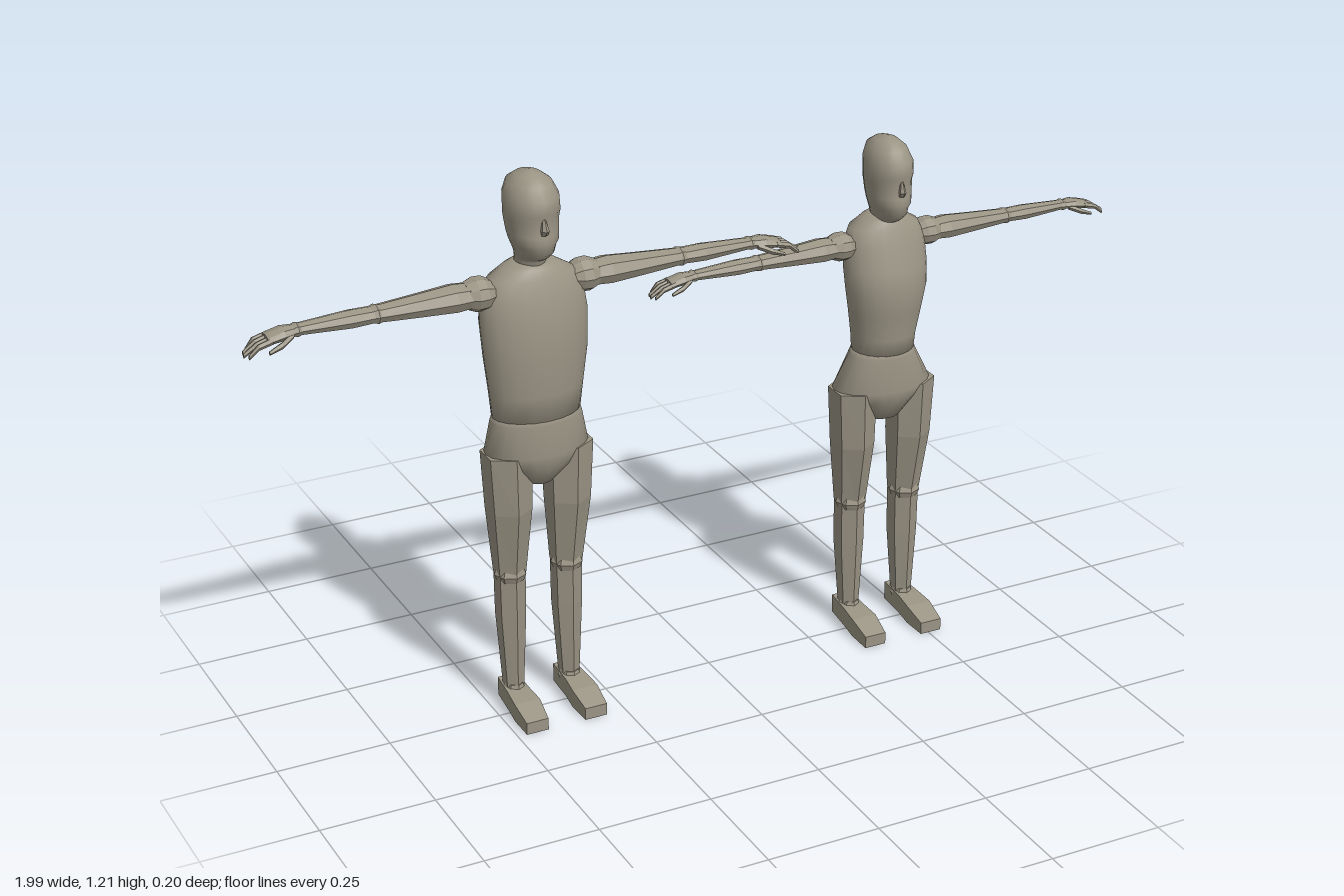
import * as THREE from 'three';

const clay = new THREE.MeshStandardMaterial({ color: 0x9a9484 });
clay.name = 'clay';

// Closed loft along y. Ring: [y, halfWidth, zFront, zBack, xOffset]
function loft(rings, sides, { smooth = false, phase = 0 } = {}) {
  const r = rings[0][0] > rings[rings.length - 1][0] ? [...rings].reverse() : rings;
  const angles = Array.from({ length: sides }, (_, i) => (i / sides) * Math.PI * 2 + phase);
  const maxS = Math.max(...angles.map((a) => Math.abs(Math.sin(a))));
  const maxC = Math.max(...angles.map((a) => Math.abs(Math.cos(a))));
  const pos = [], idx = [];
  for (const [y, w, zf, zb, x = 0] of r) {
    for (const a of angles) {
      pos.push(x + (w * Math.sin(a)) / maxS, y, (zf + zb) / 2 + (((zf - zb) / 2) * Math.cos(a)) / maxC);
    }
  }
  const centre = ([y, , zf, zb, x = 0]) => pos.push(x, y, (zf + zb) / 2);
  centre(r[0]);
  centre(r[r.length - 1]);
  const bottom = r.length * sides, last = (r.length - 1) * sides;
  for (let i = 0; i < sides; i++) {
    const k = (i + 1) % sides;
    for (let j = 0; j < r.length - 1; j++) {
      const p = j * sides + i, q = j * sides + k;
      idx.push(p, q, q + sides, p, q + sides, p + sides);
    }
    idx.push(bottom, k, i, bottom + 1, last + i, last + k);
  }
  let g = new THREE.BufferGeometry();
  g.setAttribute('position', new THREE.Float32BufferAttribute(pos, 3));
  g.setIndex(idx);
  if (!smooth) g = g.toNonIndexed();
  g.computeVertexNormals();
  return g;
}

// Mirror a flat-shaded geometry across x, keeping faces outward
function mirror(geo) {
  const g = geo.clone().scale(-1, 1, 1);
  const p = g.attributes.position, a = new THREE.Vector3(), b = new THREE.Vector3();
  for (let i = 0; i < p.count; i += 3) {
    a.fromBufferAttribute(p, i + 1);
    b.fromBufferAttribute(p, i + 2);
    p.setXYZ(i + 1, b.x, b.y, b.z);
    p.setXYZ(i + 2, a.x, a.y, a.z);
  }
  g.computeVertexNormals();
  return g;
}

function add(parent, name, geo) {
  const m = new THREE.Mesh(geo, clay);
  m.name = name;
  parent.add(m);
}

function addPair(parent, name, geo) {
  add(parent, name + 'Left', geo);
  add(parent, name + 'Right', mirror(geo));
}

// Head and neck, measured down from the crown
function addHead(fig, top, w, d) {
  const rings = [
    [0, 0.006, -0.02, -0.04], [-0.006, 0.027, 0.004, -0.066], [-0.02, 0.045, 0.027, -0.088],
    [-0.045, 0.056, 0.045, -0.093], [-0.073, 0.057, 0.047, -0.09], [-0.088, 0.056, 0.04, -0.088],
    [-0.12, 0.052, 0.044, -0.084], [-0.135, 0.049, 0.048, -0.081], [-0.145, 0.045, 0.042, -0.079],
    [-0.16, 0.039, 0.042, -0.077], [-0.174, 0.034, 0.025, -0.074], [-0.186, 0.032, 0.003, -0.071],
    [-0.245, 0.035, 0.002, -0.074],
  ].map(([y, hw, zf, zb]) => [top + y, hw * w, zf * d, zb * d]);
  add(fig, 'head', loft(rings, 20, { smooth: true }));
  const nose = [
    [-0.08, 0.003, 0.045, 0.03], [-0.104, 0.008, 0.055, 0.03], [-0.114, 0.007, 0.048, 0.03],
  ].map(([y, hw, zf, zb]) => [top + y, hw * w, zf * d, zb * d]);
  add(fig, 'nose', loft(nose, 6));
}

// Arm lofts run outward along x; the last ring value is a downward droop
function addArms(fig, y, len, thick) {
  const part = (name, rings, sides) => {
    const scaled = rings.map(([s, h, zf, zb, drop = 0]) =>
      [s * len, h * thick, -0.033 + zf * thick, -0.033 + zb * thick, drop * thick]);
    addPair(fig, name, loft(scaled, sides).rotateZ(-Math.PI / 2).translate(0, y, 0));
  };
  part('shoulder', [[0.085, 0.022, 0.03, -0.03], [0.105, 0.033, 0.04, -0.04],
    [0.125, 0.034, 0.041, -0.041], [0.145, 0.026, 0.032, -0.032]], 10);
  part('upperArm', [[0.125, 0.026, 0.034, -0.034], [0.17, 0.03, 0.037, -0.037],
    [0.24, 0.025, 0.031, -0.031, 0.001], [0.335, 0.018, 0.023, -0.025, 0.002]], 8);
  part('elbow', [[0.322, 0.016, 0.02, -0.022, 0.002], [0.335, 0.021, 0.025, -0.027, 0.002],
    [0.348, 0.016, 0.02, -0.022, 0.002]], 8);
  part('forearm', [[0.335, 0.017, 0.022, -0.025, 0.002], [0.39, 0.019, 0.022, -0.026, 0.003],
    [0.5, 0.012, 0.013, -0.021, 0.004]], 8);
  part('wrist', [[0.49, 0.011, 0.012, -0.02, 0.004], [0.5, 0.015, 0.016, -0.024, 0.004],
    [0.512, 0.011, 0.013, -0.021, 0.005]], 8);
  part('palm', [[0.5, 0.011, 0.013, -0.021, 0.004], [0.53, 0.014, 0.021, -0.029, 0.006],
    [0.565, 0.01, 0.022, -0.03, 0.012]], 8);
  [0.016, 0.003, -0.011, -0.024].forEach((z, i) => {
    const reach = [0.606, 0.613, 0.61, 0.6][i];
    part('finger' + (i + 1), [[0.555, 0.007, z + 0.006, z - 0.006, 0.01],
      [0.585, 0.0065, z + 0.006, z - 0.006, 0.018], [reach, 0.005, z + 0.004, z - 0.004, 0.036]], 5);
  });
  part('thumb', [[0.512, 0.007, 0.018, 0.003, 0.008], [0.54, 0.007, 0.031, 0.018, 0.02],
    [0.568, 0.004, 0.032, 0.023, 0.03]], 5);
}

// Hexagonal legs with knee and ankle rings, and wedge feet
function addLegs(fig, hipY, kneeY, x, thigh) {
  const side = Math.PI / 4;
  addPair(fig, 'thigh', loft([
    [hipY, thigh, 0.032, -0.082, x + 0.002], [hipY - 0.13, thigh * 0.9, 0.029, -0.08, x],
    [kneeY, 0.03, 0.002, -0.071, x - 0.002]], 6));
  addPair(fig, 'knee', loft([
    [kneeY + 0.014, 0.03, 0.001, -0.068, x - 0.002], [kneeY, 0.036, 0.006, -0.073, x - 0.002],
    [kneeY - 0.014, 0.03, 0.001, -0.069, x - 0.002]], 8));
  addPair(fig, 'shin', loft([
    [kneeY, 0.029, 0.001, -0.071, x - 0.002], [kneeY - 0.1, 0.028, 0, -0.072, x - 0.002],
    [0.045, 0.019, -0.006, -0.057, x - 0.002]], 6));
  addPair(fig, 'ankle', loft([
    [0.058, 0.019, -0.004, -0.058, x - 0.002], [0.045, 0.025, 0, -0.062, x - 0.002],
    [0.03, 0.022, -0.002, -0.06, x - 0.002]], 8));
  addPair(fig, 'foot', loft([
    [-0.065, 0.022, -0.012, -0.054, x - 0.002], [0, 0.025, -0.008, -0.05, x],
    [0.045, 0.029, -0.004, -0.045, x], [0.1, 0.025, 0, -0.027, x + 0.001]], 4, { phase: side })
    .rotateX(Math.PI / 2));
}

function makeFigure(name, x, o) {
  const fig = new THREE.Group();
  fig.name = name;
  fig.position.x = x;
  addHead(fig, o.top, o.headWidth, o.headDepth);
  add(fig, 'torso', loft(o.torso, 20, { smooth: true }));
  add(fig, 'pelvis', loft(o.pelvis, 20, { smooth: true }));
  addArms(fig, o.armY, o.armLength, o.armThickness);
  addLegs(fig, o.hipY, o.kneeY, o.legX, o.thigh);
  return fig;
}

export function createModel() {
  const model = new THREE.Group();
  model.name = 'mannequinPair';
  model.add(makeFigure('tallMannequin', -0.387, {
    top: 1.207, headWidth: 1, headDepth: 1,
    torso: [
      [1.016, 0.036, 0, -0.072], [1.007, 0.06, 0.01, -0.08], [0.987, 0.094, 0.02, -0.089],
      [0.95, 0.113, 0.031, -0.092], [0.9, 0.118, 0.042, -0.092], [0.82, 0.113, 0.049, -0.088],
      [0.74, 0.103, 0.042, -0.085], [0.67, 0.095, 0.038, -0.088]],
    pelvis: [
      [0.69, 0.095, 0.037, -0.086], [0.675, 0.1, 0.041, -0.09], [0.605, 0.114, 0.043, -0.099],
      [0.57, 0.08, 0.036, -0.093], [0.53, 0.032, 0.01, -0.06]],
    armY: 0.962, armLength: 1, armThickness: 1,
    hipY: 0.605, kneeY: 0.32, legX: 0.067, thigh: 0.047,
  }));
  model.add(makeFigure('shortMannequin', 0.435, {
    top: 1.145, headWidth: 0.88, headDepth: 0.95,
    torso: [
      [0.973, 0.034, 0, -0.07], [0.965, 0.052, 0.008, -0.078], [0.948, 0.08, 0.015, -0.087],
      [0.915, 0.094, 0.028, -0.091], [0.86, 0.096, 0.043, -0.089], [0.815, 0.093, 0.054, -0.086],
      [0.76, 0.084, 0.046, -0.083], [0.7, 0.074, 0.037, -0.084], [0.65, 0.069, 0.035, -0.087]],
    pelvis: [
      [0.67, 0.069, 0.034, -0.085], [0.655, 0.075, 0.038, -0.089], [0.58, 0.115, 0.042, -0.099],
      [0.55, 0.082, 0.036, -0.093], [0.505, 0.042, 0.01, -0.06]],
    armY: 0.912, armLength: 0.905, armThickness: 0.86,
    hipY: 0.58, kneeY: 0.305, legX: 0.07, thigh: 0.045,
  }));
  return model;
}
